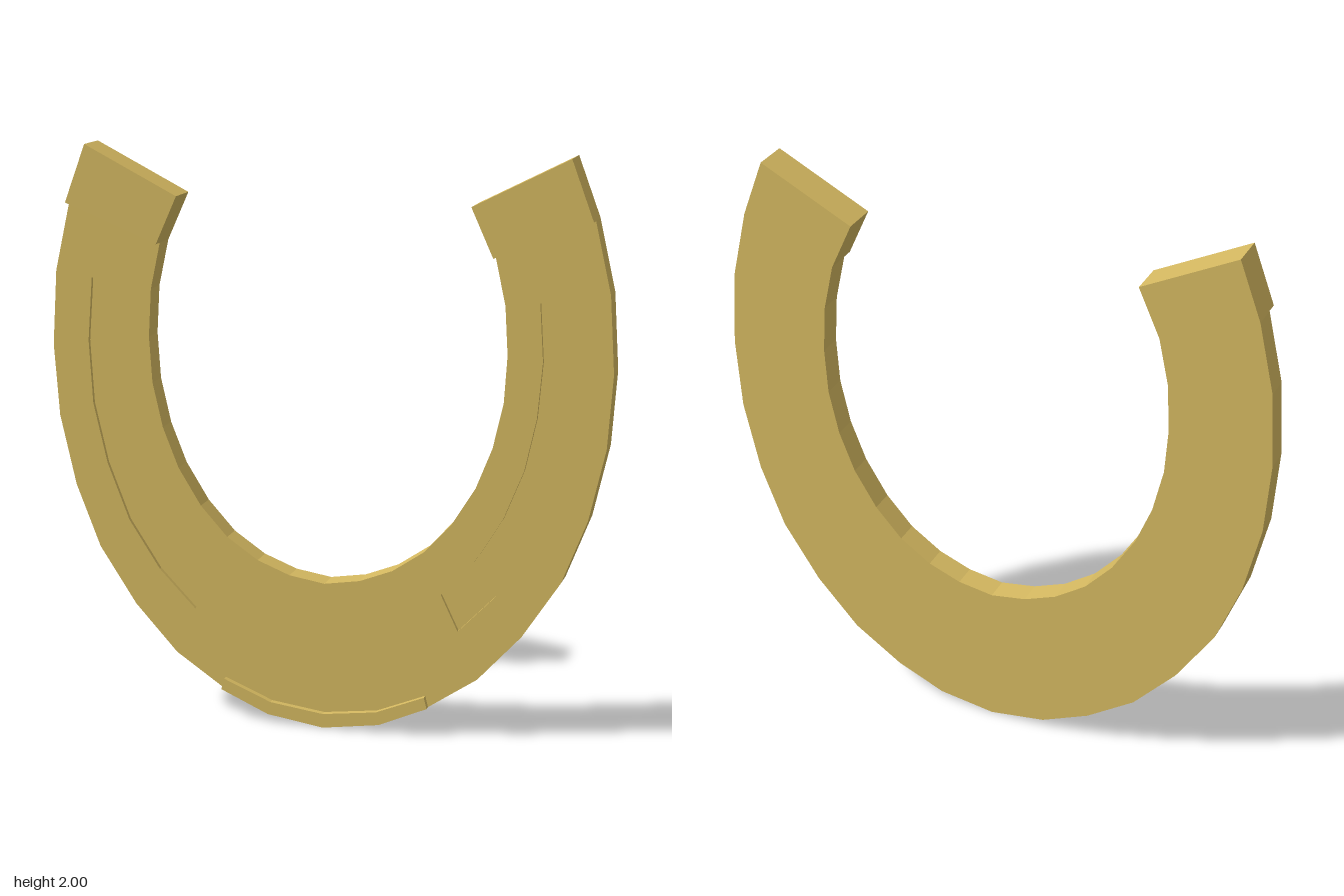
import * as THREE from 'three';

// Half outlines on the +x side, from toe to heel
const outer = [[0, 0], [0.2, 0.03], [0.37, 0.105], [0.54, 0.22], [0.69, 0.385], [0.82, 0.585],
  [0.905, 0.805], [0.96, 1.05], [0.977, 1.3], [0.96, 1.56], [0.905, 1.8], [0.83, 2]];
const inner = [[0, 0.515], [0.125, 0.535], [0.24, 0.58], [0.35, 0.655], [0.445, 0.76], [0.525, 0.89],
  [0.58, 1.03], [0.615, 1.185], [0.625, 1.345], [0.615, 1.51], [0.58, 1.67], [0.505, 1.835]];
const groove = [[0.83, 1.54], [0.847, 1.32], [0.835, 1.1], [0.787, 0.89], [0.71, 0.69], [0.6, 0.52], [0.47, 0.385],
  [0.41, 0.51], [0.525, 0.635], [0.62, 0.79], [0.688, 0.96], [0.727, 1.14], [0.743, 1.33], [0.73, 1.525]];
const clipTop = [[0, 0.05], [0.19, 0.075], [0.36, 0.145]];

// Depth levels from back to front
const BACK = -0.0625, FLOOR = 0.008, FACE = 0.023, CLIP = 0.045, FRONT = 0.0625;

const mirror = (pts) => pts.map(([x, y]) => [-x, y]);
const toVectors = (pts) => pts.map(([x, y]) => new THREE.Vector2(x, y));

// Mirrors a half line that starts at x = 0 into a full line from -x to +x
const fullLine = (half) => [...mirror(half.slice(1)).reverse(), ...half];
const band = (lower, upper) => [...fullLine(lower), ...fullLine(upper).reverse()];

export function createModel() {
  const model = new THREE.Group();
  model.name = 'horseshoe';
  const gold = new THREE.MeshStandardMaterial({ color: 0xd4b860 });
  gold.name = 'gold';

  const addPlate = (name, pts, z0, z1, holes = []) => {
    const shape = new THREE.Shape(toVectors(pts));
    shape.holes = holes.map((h) => new THREE.Path(toVectors(h)));
    const geometry = new THREE.ExtrudeGeometry(shape, { depth: z1 - z0, bevelEnabled: false });
    geometry.translate(0, 0, z0);
    const mesh = new THREE.Mesh(geometry, gold);
    mesh.name = name;
    model.add(mesh);
  };

  // Body: solid back layer and a thin front layer cut by the two nail grooves
  const body = band(outer, inner);
  addPlate('bodyBack', body, BACK, FLOOR);
  addPlate('bodyFront', body, FLOOR, FACE, [groove, mirror(groove)]);

  // Raised toe clip along the bottom edge
  addPlate('toeClip', band(outer.slice(0, 3), clipTop), FACE, CLIP);

  // Raised blocks at the two heel ends
  const heel = [outer[10], outer[11], inner[11], inner[10]];
  addPlate('leftHeelBlock', heel, FACE, FRONT);
  addPlate('rightHeelBlock', mirror(heel), FACE, FRONT);

  return model;
}
